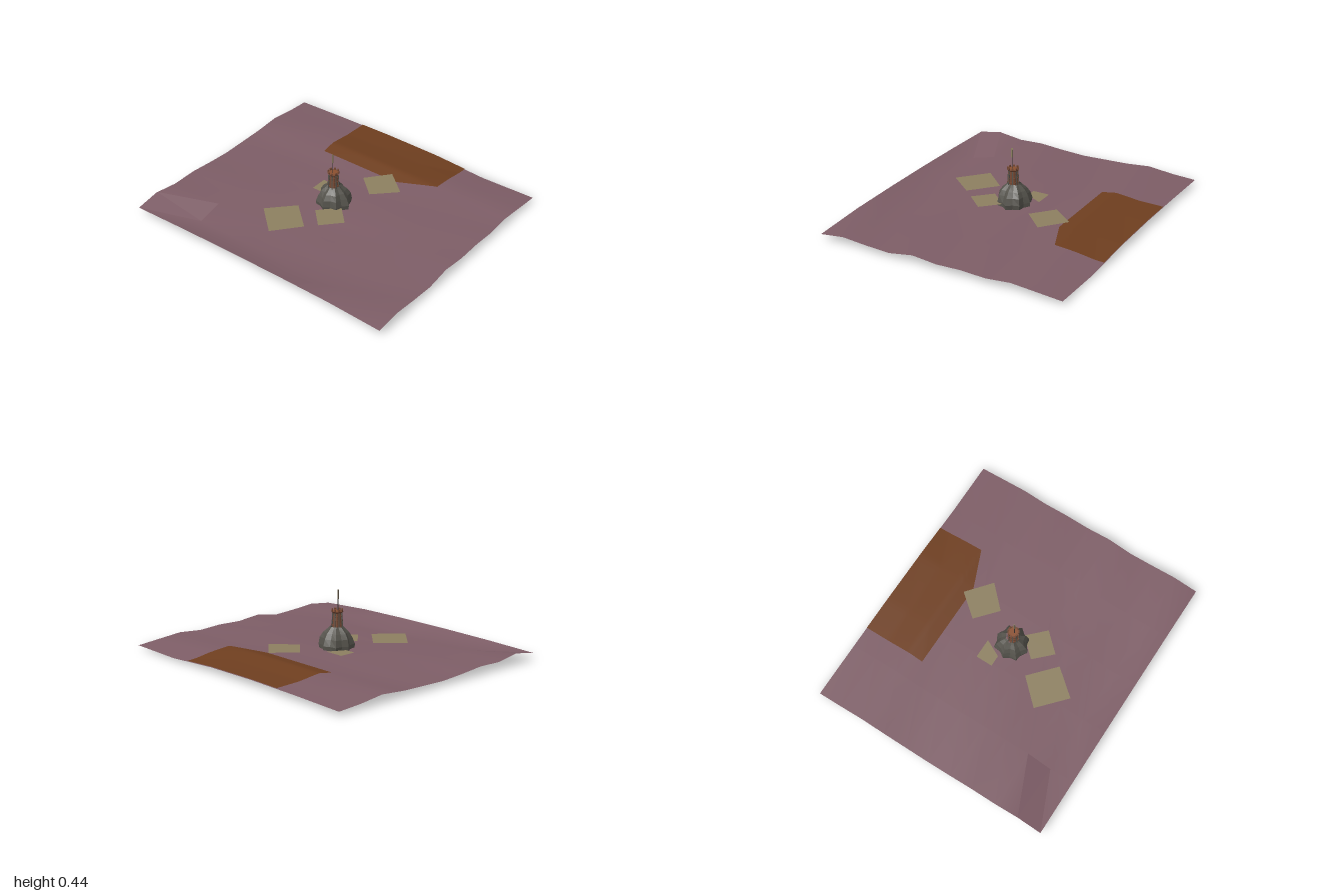
import * as THREE from 'three';

const mat = (name, color, extra = {}) => {
  const m = new THREE.MeshStandardMaterial({ color, ...extra });
  m.name = name;
  return m;
};

// Ground heights: rows run back to front, columns run -x to +x
const HEIGHTS = [
  [.025, .035, .04, .035, .012, .02],
  [.035, .04, .045, .045, .04, .035],
  [.055, .06, .065, .065, .055, .05],
  [.04, .03, .03, .03, .03, .035],
  [.035, .04, .05, .05, .055, .045],
  [.03, .04, .035, .035, .045, .04],
  [.04, .05, .05, .035, .045, .058],
  [.055, .045, .03, .014, .035, .03],
  [.05, .055, .05, .035, .04, .04],
  [.075, .012, .02, .006, .04, .055],
  [.045, .055, .06, .06, .055, .035],
];

// Height on the triangulated ground
function groundY(x, z) {
  const gx = (x + 1) / 0.4, gz = (z + 0.875) / 0.175;
  const i = Math.min(4, Math.max(0, Math.floor(gx + 1e-6)));
  const j = Math.min(9, Math.max(0, Math.floor(gz + 1e-6)));
  const u = gx - i, v = gz - j;
  const a = HEIGHTS[j][i], b = HEIGHTS[j][i + 1], c = HEIGHTS[j + 1][i], d = HEIGHTS[j + 1][i + 1];
  return u + v <= 1 ? a + u * (b - a) + v * (c - a) : d + (1 - u) * (c - d) + (1 - v) * (b - d);
}

// Plane draped over the ground
function drape(nx, nz, lift, place = (x, z) => [x, z]) {
  const geo = new THREE.PlaneGeometry(2, 1.75, nx, nz).rotateX(-Math.PI / 2);
  const p = geo.attributes.position;
  for (let i = 0; i < p.count; i++) {
    const [x, z] = place(p.getX(i), p.getZ(i));
    p.setXYZ(i, x, groundY(x, z) + lift, z);
  }
  geo.computeVertexNormals();
  return geo;
}

// Faces from a list of corners, fanned from the first
function polygon(corners) {
  const pts = [];
  for (let i = 1; i < corners.length - 1; i++) pts.push(...corners[0], ...corners[i], ...corners[i + 1]);
  const geo = new THREE.BufferGeometry();
  geo.setAttribute('position', new THREE.Float32BufferAttribute(pts, 3));
  geo.computeVertexNormals();
  return geo;
}

export function createModel() {
  const group = new THREE.Group();
  const mauve = mat('mauve earth', 0x7d5d66);
  const rust = mat('rust soil', 0x6e3e1f);
  const sand = mat('sand', 0x8c7f60, { side: THREE.DoubleSide });
  const olive = mat('dark olive', 0x353e14);
  const umber = mat('dark umber', 0x553024);
  const stone = mat('grey rock', 0x55534c, { flatShading: true, side: THREE.DoubleSide });
  const brick = mat('red brown masonry', 0x744833, { flatShading: true });
  const floor = mat('orange floor', 0x8a5030);
  const dark = mat('dark iron', 0x3a3432);

  const add = (name, geo, material, x = 0, y = 0, z = 0, parent = group) => {
    const m = new THREE.Mesh(geo, material);
    m.name = name;
    m.position.set(x, y, z);
    parent.add(m);
    return m;
  };

  // Rolling ground surface with a sharp fold in one corner
  add('ground', drape(5, 10, 0), mauve);
  const at = (x, z) => [x, groundY(x, z) + 0.002, z];
  add('foldedCorner', polygon([at(-1, 0.7), at(-1, 0.875), at(-0.6, 0.7), at(-0.6, 0.525)]), mauve);

  // Underside: olive, with umber along the back and in one front corner
  const under = drape(30, 40, -0.006);
  const idx = under.index.array;
  const pos = under.attributes.position;
  under.clearGroups();
  for (let i = 0; i < idx.length; i += 6) {
    const x = (pos.getX(idx[i]) + pos.getX(idx[i + 2])) / 2;
    const z = (pos.getZ(idx[i]) + pos.getZ(idx[i + 1])) / 2;
    under.addGroup(i, 6, z < -0.64 || (x < -0.47 && z > 0.6) ? 1 : 0);
  }
  for (let i = 0; i < idx.length; i += 3) [idx[i], idx[i + 1]] = [idx[i + 1], idx[i]];
  under.computeVertexNormals();
  add('underside', under, [olive, umber]);

  // Bare soil patch at the back, one corner cut off
  add('soilPatch', drape(30, 24, 0.005, (x, z) => {
    const px = x * 0.448;
    const front = px < 0.18 ? -0.42 : -0.42 - (px - 0.18) * 0.41;
    return [px, THREE.MathUtils.mapLinear(z, -0.875, 0.875, -0.875, front)];
  }), rust);

  // Flat sandy plots around the tower
  const plots = [
    [0.068, [[0.12, -0.46], [-0.01, -0.3], [0.14, -0.17], [0.29, -0.32]]],
    [0.055, [[-0.22, -0.13], [-0.22, -0.01], [-0.14, -0.01], [-0.08, -0.13]]],
    [0.062, [[0.08, 0.06], [-0.04, 0.19], [0.08, 0.31], [0.2, 0.18]]],
    [0.066, [[-0.16, 0.22], [-0.32, 0.39], [-0.13, 0.56], [0.02, 0.38]]],
  ];
  for (const [y, corners] of plots) {
    add('plot', polygon(corners.map(([x, z]) => [x, y, z])), sand);
  }

  // Craggy rock mound
  const mound = new THREE.LatheGeometry(
    [[0.105, 0.018], [0.112, 0.07], [0.1, 0.115], [0.08, 0.15], [0.055, 0.175], [0.042, 0.19]]
      .map(([r, y]) => new THREE.Vector2(r, y)), 16);
  const mp = mound.attributes.position;
  for (let i = 0; i < mp.count; i++) {
    const x = mp.getX(i), y = mp.getY(i), z = mp.getZ(i);
    const a = Math.atan2(z, x);
    const k = 1 + 0.09 * Math.cos(8 * a) + 0.04 * Math.sin(3 * a + y * 30);
    mp.setXYZ(i, x * k, y, z * k);
  }
  mound.computeVertexNormals();
  add('rockMound', mound, stone, -0.012, 0, 0.022);

  // Tower: tapered shaft, ribs, bands, flared crown and battlements
  const tower = new THREE.Group();
  tower.name = 'tower';
  tower.position.set(-0.01, 0, 0.03);
  group.add(tower);
  add('shaft', new THREE.CylinderGeometry(0.03, 0.038, 0.115, 8), brick, 0, 0.2275, 0, tower);
  for (const [y, r] of [[0.2, 0.04], [0.23, 0.037], [0.26, 0.035]]) {
    add('band', new THREE.CylinderGeometry(r, r, 0.007, 8), brick, 0, y, 0, tower);
  }
  for (let i = 0; i < 8; i++) {
    const a = (i + 0.5) * Math.PI / 4;
    const pivot = new THREE.Group();
    pivot.name = 'ribAndBattlement';
    pivot.rotation.y = a;
    tower.add(pivot);
    const rib = add('rib', new THREE.BoxGeometry(0.006, 0.1, 0.008), stone, 0, 0.23, 0.034, pivot);
    rib.rotation.x = -0.07;
    add('battlement', new THREE.BoxGeometry(0.014, 0.014, 0.007), brick, 0, 0.299, 0.036, pivot);
  }
  add('crown', new THREE.CylinderGeometry(0.042, 0.03, 0.014, 8), brick, 0, 0.285, 0, tower);
  add('towerFloor', new THREE.CylinderGeometry(0.031, 0.031, 0.004, 8), floor, 0, 0.292, 0, tower);

  // Flagpole with a narrow pennant
  add('pole', new THREE.CylinderGeometry(0.003, 0.003, 0.145, 6), dark, 0, 0.3625, 0.008, tower);
  add('pennant', new THREE.BoxGeometry(0.004, 0.065, 0.012), sand, 0, 0.405, 0.008, tower);

  return group;
}
